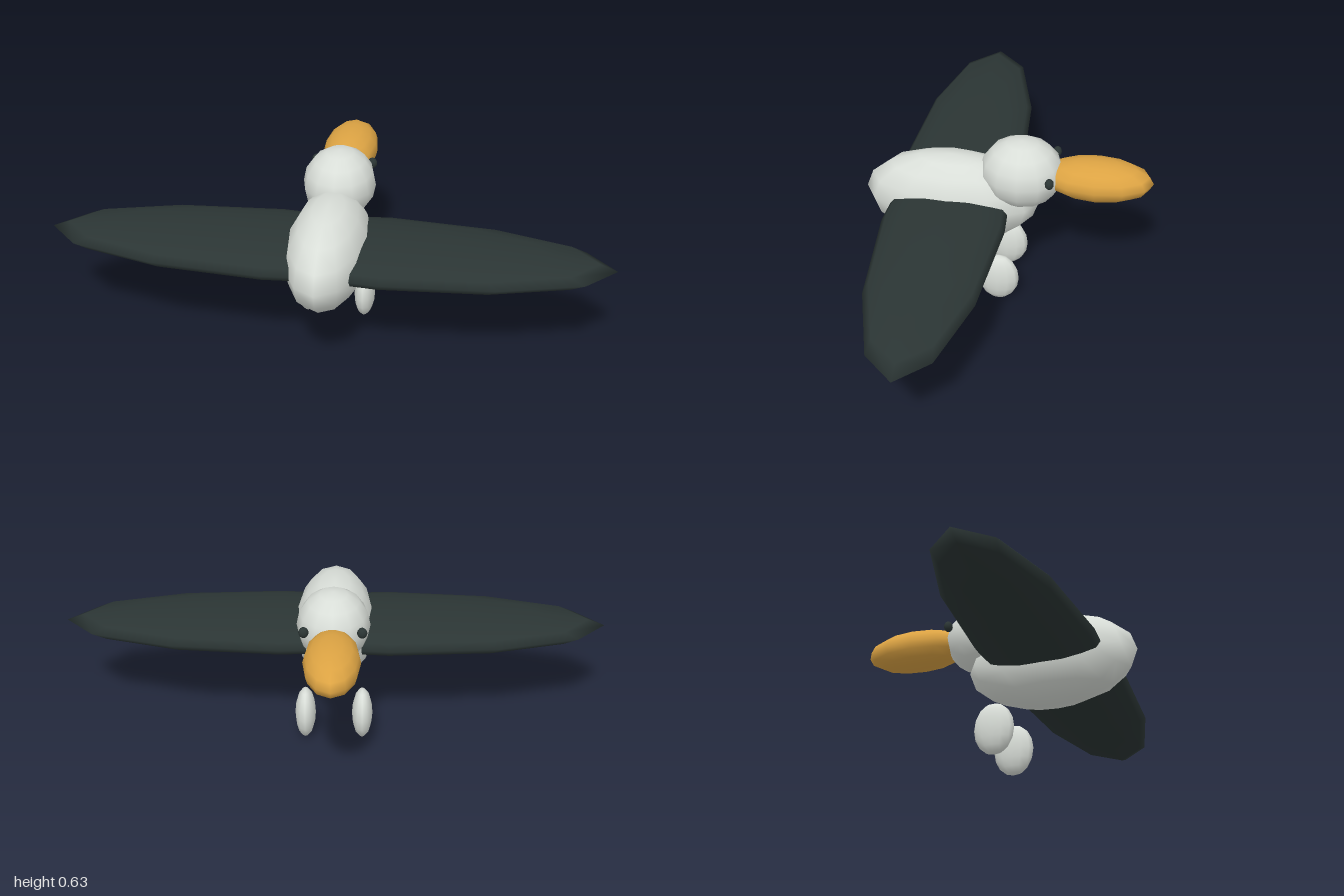
import * as THREE from 'three';

export function createModel() {
  const bird = new THREE.Group();
  bird.name = 'bird';

  const material = (name, color) => {
    const m = new THREE.MeshStandardMaterial({ color });
    m.name = name;
    return m;
  };
  const plumage = material('pale plumage', 0xd9ded8);
  const dark = material('dark feathers', 0x2b3534);
  const amber = material('amber beak', 0xdca343);

  // Every part is a coarse smooth ball stretched to its own radii
  const part = (name, mat, centre, radii) => {
    const geometry = new THREE.SphereGeometry(1, 12, 8);
    geometry.scale(...radii);
    const mesh = new THREE.Mesh(geometry, mat);
    mesh.name = name;
    mesh.position.set(...centre);
    bird.add(mesh);
  };

  // Body, head and beak along the z axis
  part('body', plumage, [0, 0.376, 0.203], [0.146, 0.174, 0.317]);
  part('head', plumage, [0, 0.505, -0.05], [0.131, 0.13, 0.15]);
  part('beak', amber, [0, 0.503, -0.318], [0.1, 0.073, 0.201]);

  // Mirrored wings, feet and eyes; the wings overlap inside the body
  for (const [side, s] of [['left', 1], ['right', -1]]) {
    part(side + 'Wing', dark, [s * 0.2, 0.376, 0.2], [0.8, 0.063, 0.221]);
    part(side + 'Foot', plumage, [s * 0.105, 0.097, 0.018], [0.038, 0.097, 0.075]);
    part(side + 'Eye', dark, [s * 0.102, 0.532, -0.162], [0.018, 0.02, 0.016]);
  }

  return bird;
}
